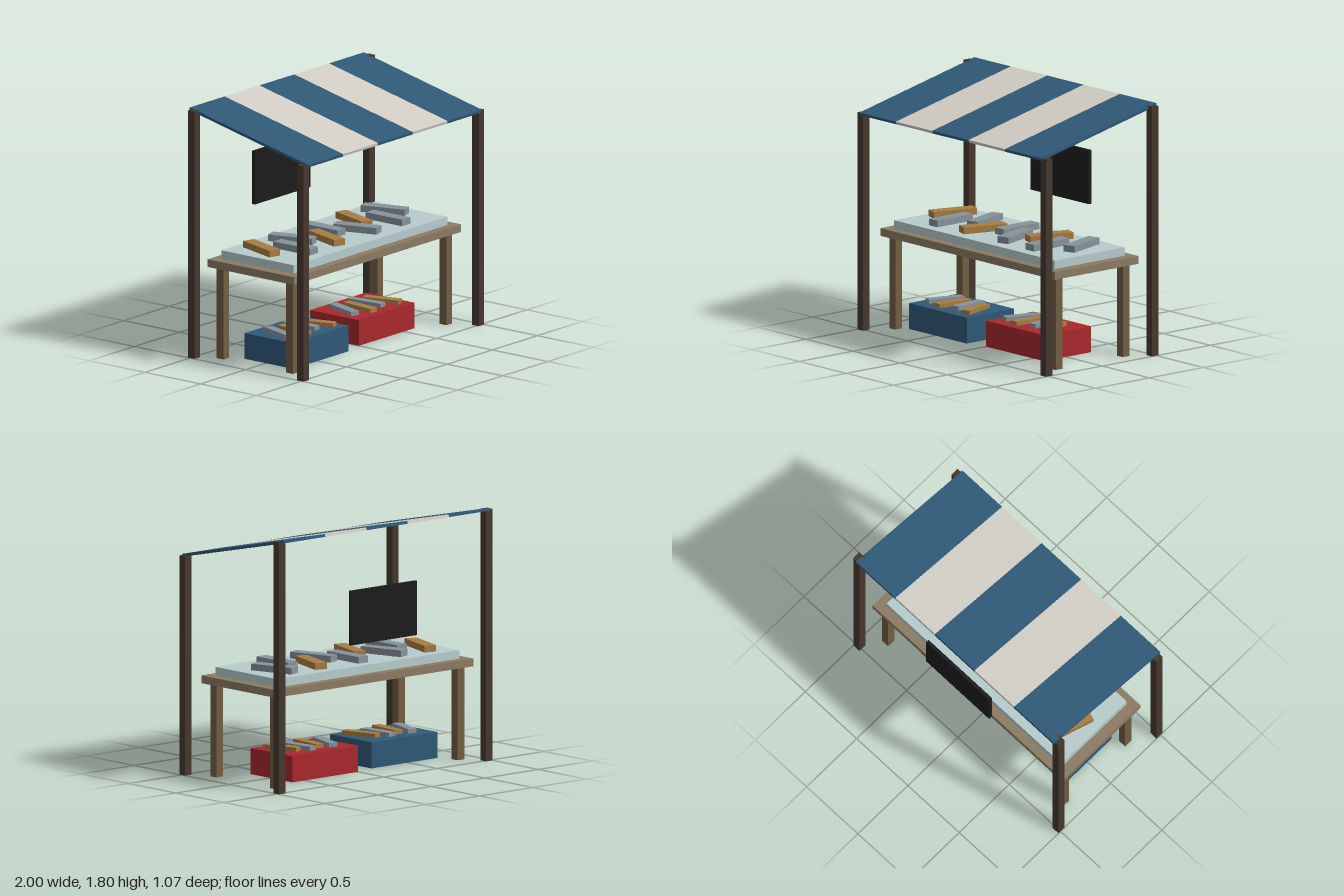
import * as THREE from 'three';

const mat = (color) => new THREE.MeshStandardMaterial({ color, flatShading: true });
const M = {
  post: mat(0x46382e), leg: mat(0x725d43), top: mat(0x8c7b64), ice: mat(0xb8cccd),
  blue: mat(0x2f5977), cream: mat(0xd2cec5), red: mat(0xa9282c),
  silver: mat(0x87929a), amber: mat(0xa87d43), board: mat(0x1d1d1d),
};

// Box centred on x and z, with its underside at y
function box(parent, name, material, [w, h, d], [x, y, z], turn = 0) {
  const mesh = new THREE.Mesh(new THREE.BoxGeometry(w, h, d), material);
  mesh.name = name;
  mesh.position.set(x, y + h / 2, z);
  mesh.rotation.y = turn;
  parent.add(mesh);
  return mesh;
}

function group(parent, name, x = 0, y = 0, z = 0) {
  const g = new THREE.Group();
  g.name = name;
  g.position.set(x, y, z);
  parent.add(g);
  return g;
}

export function createModel() {
  const stall = new THREE.Group();
  stall.name = 'marketStall';

  // Corner posts, taller at the back
  for (const side of [-1, 1]) {
    box(stall, 'frontPost', M.post, [0.06, 1.555, 0.06], [side * 0.97, 0, 0.492]);
    box(stall, 'backPost', M.post, [0.06, 1.785, 0.06], [side * 0.97, 0, -0.49]);
  }

  // Sloping striped canopy
  const canopy = group(stall, 'canopy', 0, 1.669, 0);
  canopy.rotation.x = 0.22;
  const stripe = 0.386;
  for (let i = 0; i < 5; i++) {
    box(canopy, 'canopyStripe', i % 2 ? M.cream : M.blue, [stripe, 0.02, 1.092], [(i - 2) * stripe, -0.01, 0]);
  }

  // Hanging board between the back posts
  box(stall, 'signBoard', M.board, [0.617, 0.385, 0.025], [0, 0.97, -0.49]);

  // Table with a bed of ice
  const table = group(stall, 'table', 0, 0, -0.013);
  for (const x of [-0.852, 0.852]) {
    for (const z of [-0.311, 0.311]) box(table, 'tableLeg', M.leg, [0.062, 0.66, 0.062], [x, 0, z]);
  }
  box(table, 'tableTop', M.top, [1.855, 0.055, 0.775], [0, 0.66, 0]);
  box(table, 'iceBed', M.ice, [1.705, 0.06, 0.65], [0, 0.715, 0]);

  // Goods on the ice: two staggered rows, fanned in threes
  for (let i = 0; i < 9; i++) {
    box(table, 'displayedFish', i % 3 ? M.silver : M.amber, [0.09, 0.047, 0.33],
      [-0.7 + i * 0.1706, 0.775, i % 2 ? 0.08 : -0.087], (i % 3 - 1) * 0.3);
  }

  // Crates under the table, each with four fanned pieces
  for (const [name, material, x, z] of [['blueCrate', M.blue, -0.467, 0.025], ['redCrate', M.red, 0.308, -0.013]]) {
    const crate = group(stall, name, x, 0, z);
    box(crate, 'crateBody', material, [0.616, 0.185, 0.437], [0, 0, 0]);
    for (let i = 0; i < 4; i++) {
      box(crate, 'crateFish', i % 2 ? M.amber : M.silver, [0.065, 0.03, 0.27],
        [(i - 1.5) * 0.124, 0.185, i % 2 ? 0.03 : -0.01], (i - 1.5) * 0.2);
    }
  }

  return stall;
}
